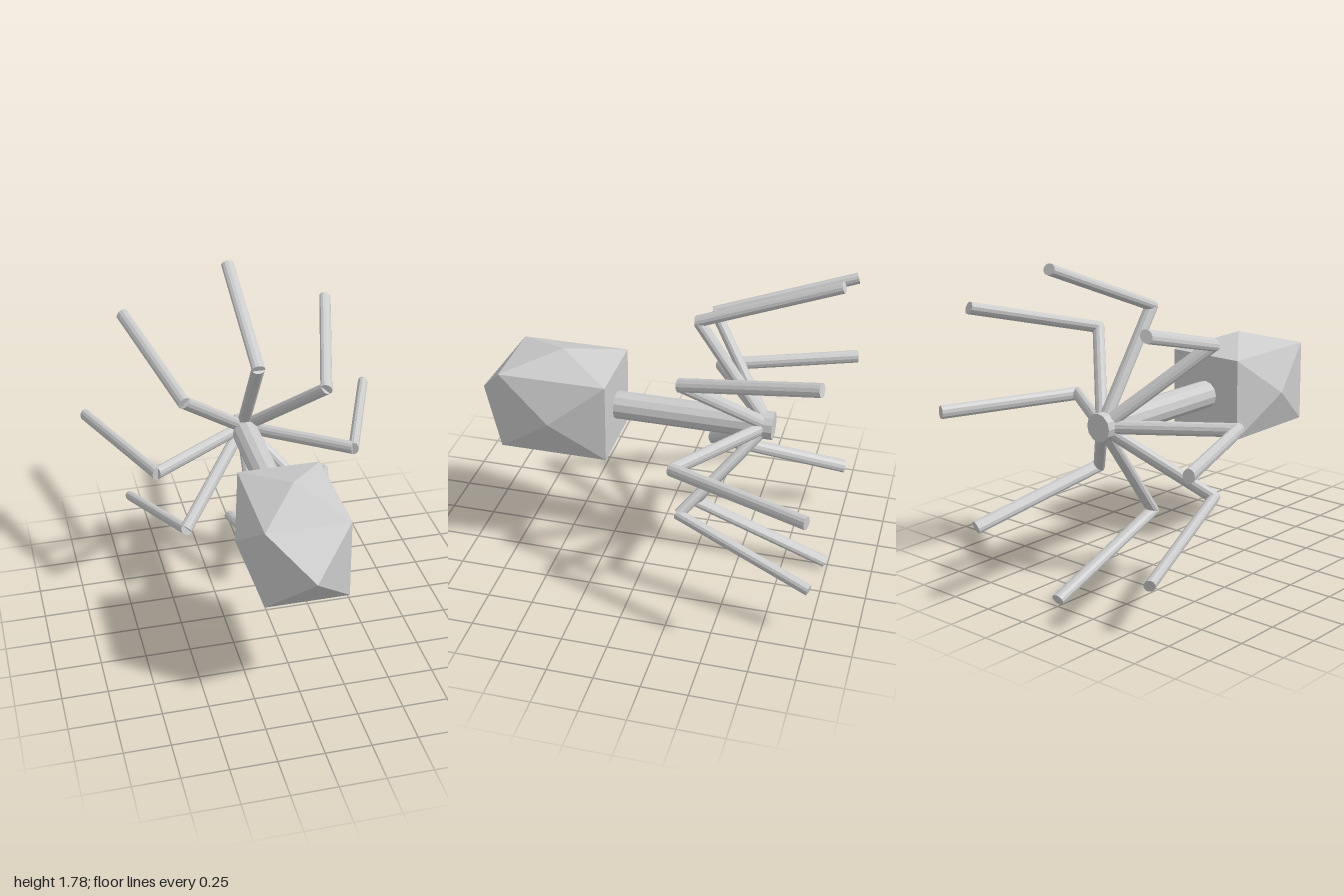
import * as THREE from 'three';
import { ConvexGeometry } from 'three/addons/geometries/ConvexGeometry.js';

const V = (x, y, z) => new THREE.Vector3(x, y, z);
const CX = 0.015, CY = 0.885;

export function createModel() {
  const model = new THREE.Group();
  const material = new THREE.MeshStandardMaterial({ color: 0xcccccc, flatShading: true });

  const add = (parent, name, geometry) => {
    const mesh = new THREE.Mesh(geometry, material);
    mesh.name = name;
    parent.add(mesh);
    return mesh;
  };

  // Body: a box with a shallow pyramid on every side but the flat back
  const points = [
    V(CX, CY, 1), V(CX, 1.195, 0.52), V(CX, 0.575, 0.52),
    V(CX - 0.31, CY, 0.52), V(CX + 0.31, CY, 0.52),
  ];
  for (const x of [-0.225, 0.225])
    for (const y of [-0.225, 0.225])
      for (const z of [0.22, 0.82]) points.push(V(CX + x, CY + y, z));
  add(model, 'body', new ConvexGeometry(points));

  // Stem from the body back to the hub of the legs
  const stem = add(model, 'stem', new THREE.CylinderGeometry(0.077, 0.077, 0.9, 12));
  stem.rotation.x = Math.PI / 2;
  stem.position.set(CX, CY, -0.21);

  // Slightly flattened rod between two points, wide along the tangent
  const rod = (parent, name, from, to, tangent) => {
    const axis = to.clone().sub(from);
    const geometry = new THREE.CylinderGeometry(0.038, 0.038, axis.length(), 12);
    geometry.scale(1, 1, 0.79);
    const y = axis.normalize();
    const z = tangent.clone().cross(y).normalize();
    const x = y.clone().cross(z);
    const mesh = add(parent, name, geometry);
    mesh.quaternion.setFromRotationMatrix(new THREE.Matrix4().makeBasis(x, y, z));
    mesh.position.copy(from).lerp(to, 0.5);
  };

  // Eight bent legs around the hub: knee x, y and foot x, y
  const legs = [
    [0.57, 0.887, 0.86, 0.887],
    [0.4, 1.29, 0.605, 1.49],
    [CX, 1.46, 0.018, 1.758],
    [-0.4, 1.31, -0.605, 1.515],
    [-0.565, 0.887, -0.86, 0.89],
    [-0.41, 0.49, -0.615, 0.28],
    [CX, 0.325, 0.012, 0.038],
    [0.41, 0.5, 0.615, 0.29],
  ];
  const hub = V(CX, CY, -0.63);
  legs.forEach(([kx, ky, fx, fy], i) => {
    const leg = new THREE.Group();
    leg.name = `leg${i + 1}`;
    const knee = V(kx, ky, -0.235);
    const tangent = V(CY - ky, kx - CX, 0).normalize();
    rod(leg, 'upperLeg', hub, knee, tangent);
    rod(leg, 'lowerLeg', V(kx, ky, -0.225), V(fx, fy, -0.985), tangent);
    model.add(leg);
  });

  return model;
}
